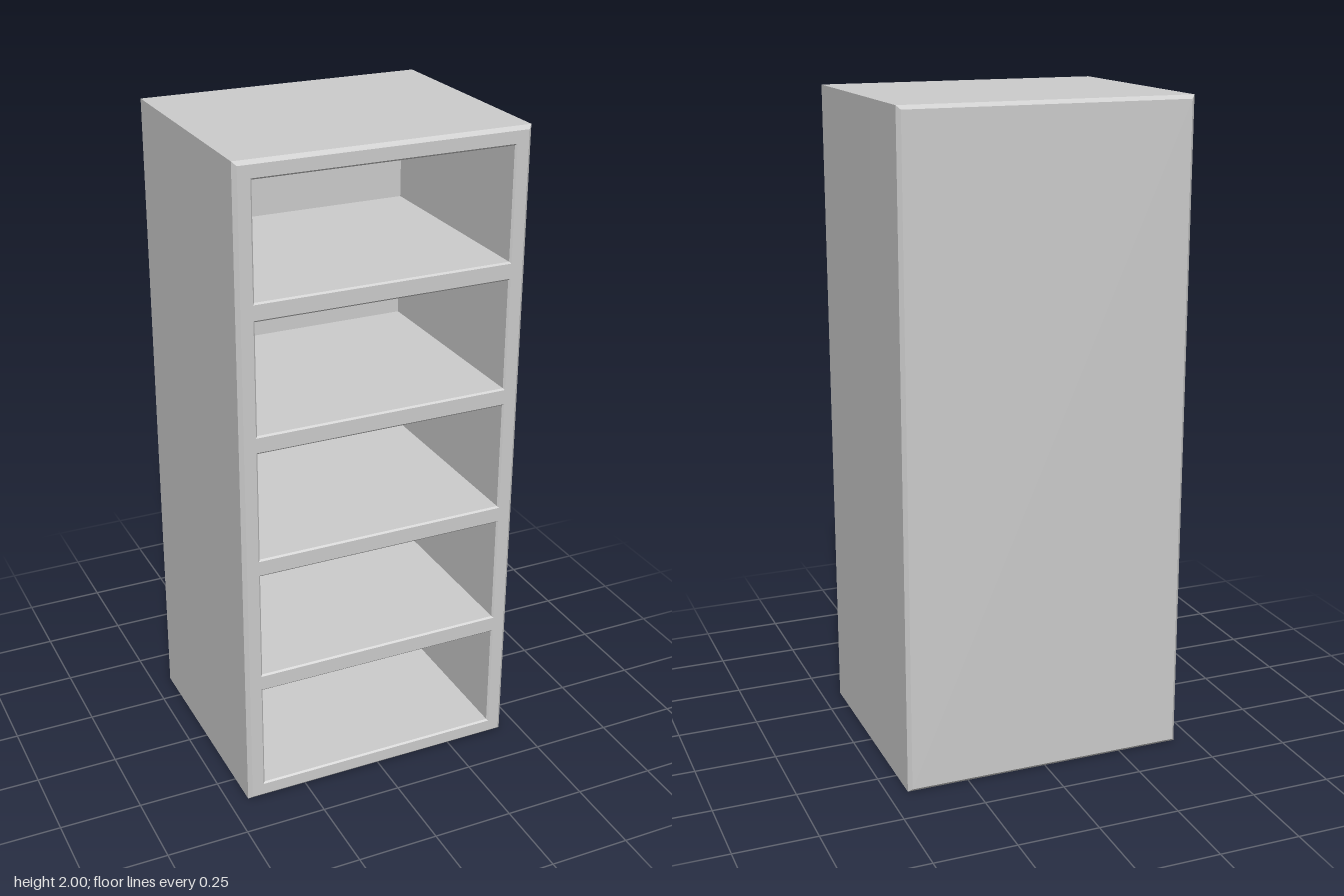
import * as THREE from 'three';

const W = 0.88, H = 2, D = 0.734;        // overall size
const BEVEL = 0.011, LIP = 0.005;        // outer chamfer, chamfer around each opening
const COUNT = 5, BOARD = 0.05;           // compartments, board thickness
const BAY_W = W - 2 * BOARD, BAY_H = (H - BOARD * (COUNT + 1)) / COUNT;

const material = new THREE.MeshStandardMaterial({ color: 0xcccccc });

function mesh(name, geometry, x = 0, y = 0, z = 0) {
  const m = new THREE.Mesh(geometry, material);
  m.name = name;
  m.position.set(x, y, z);
  return m;
}

// Corners of a centred rectangle, counter-clockwise seen from +z
const corners = (w, h) => [[-w / 2, -h / 2], [w / 2, -h / 2], [w / 2, h / 2], [-w / 2, h / 2]];

// Four-sided skin through rectangles [width, height, z]:
// back to front it faces outwards, front to back it faces inwards
function rectLoft(sections) {
  const pos = [];
  for (let i = 0; i < sections.length - 1; i++) {
    const [p, q] = [sections[i], sections[i + 1]].map(([w, h, z]) =>
      corners(w, h).map(([x, y]) => [x, y, z]));
    for (let k = 0; k < 4; k++) {
      const n = (k + 1) % 4;
      pos.push(...p[k], ...p[n], ...q[n], ...p[k], ...q[n], ...q[k]);
    }
  }
  const g = new THREE.BufferGeometry();
  g.setAttribute('position', new THREE.Float32BufferAttribute(pos, 3));
  g.computeVertexNormals();
  return g;
}

export function createModel() {
  const group = new THREE.Group();
  group.name = 'openShelfCabinet';
  const faceW = W - 2 * BEVEL, faceH = H - 2 * BEVEL;
  const zFront = D / 2, zInside = -D / 2 + BOARD;

  // Outer shell, chamfered around the front and back
  group.add(mesh('outerShell', rectLoft([
    [faceW, faceH, -D / 2], [W, H, -D / 2 + BEVEL],
    [W, H, D / 2 - BEVEL], [faceW, faceH, D / 2],
  ]), 0, H / 2));

  const back = mesh('backPanel', new THREE.PlaneGeometry(faceW, faceH), 0, H / 2, -D / 2);
  back.rotation.y = Math.PI;
  group.add(back);

  // Front frame with one opening per compartment
  const toPoints = (w, h, y) => corners(w, h).map(([px, py]) => new THREE.Vector2(px, py + y));
  const frame = new THREE.Shape(toPoints(faceW, faceH, H / 2));
  const lipW = BAY_W + LIP, lipH = BAY_H + LIP;
  const inW = BAY_W - LIP, inH = BAY_H - LIP;

  for (let i = 0; i < COUNT; i++) {
    const y = BOARD + BAY_H / 2 + i * (BAY_H + BOARD);
    frame.holes.push(new THREE.Path(toPoints(lipW, lipH, y).reverse()));

    // Compartment: chamfered lip, four inner walls and a back
    const bay = new THREE.Group();
    bay.name = `compartment${i + 1}`;
    bay.position.y = y;
    bay.add(
      mesh('compartmentWalls', rectLoft([
        [lipW, lipH, zFront], [inW, inH, zFront - LIP], [inW, inH, zInside],
      ])),
      mesh('compartmentBack', new THREE.PlaneGeometry(inW, inH), 0, 0, zInside),
    );
    group.add(bay);
  }
  group.add(mesh('frontFrame', new THREE.ShapeGeometry(frame), 0, 0, zFront));

  return group;
}
